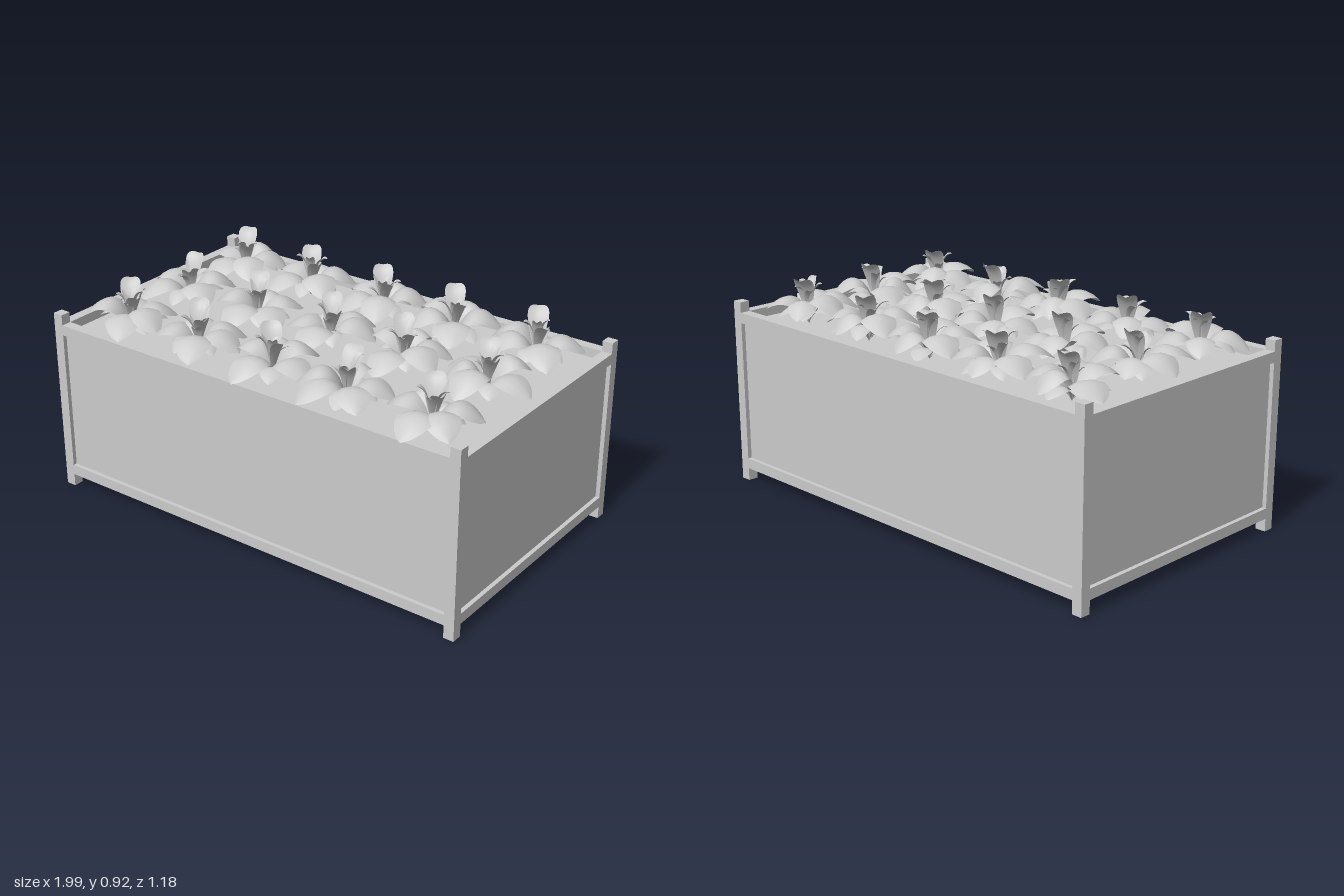
import * as THREE from 'three';

const grey = new THREE.MeshStandardMaterial({ color: 0xcccccc });
const leafGrey = new THREE.MeshStandardMaterial({ color: 0xcccccc, side: THREE.DoubleSide });

// Outer faces of the frame and its main heights
const X0 = -0.99, X1 = 0.997, Z0 = -0.587, Z1 = 0.565;
const BAR = 0.045, POST_H = 0.8, SOIL = 0.715;
const RECESS = 0.018, PANEL = 0.015;

// Box given by its lower and upper corners
function box(parent, name, [ax, ay, az], [bx, by, bz]) {
  const mesh = new THREE.Mesh(new THREE.BoxGeometry(bx - ax, by - ay, bz - az), grey);
  mesh.position.set((ax + bx) / 2, (ay + by) / 2, (az + bz) / 2);
  mesh.name = name;
  parent.add(mesh);
}

// Leaf growing along +x: an arched spine with an oval, cupped blade
function leafGeometry({ reach, rise, turn, bend, width, cup }) {
  const geo = new THREE.PlaneGeometry(1, 2, 12, 4);
  const p = geo.attributes.position;
  for (let i = 0; i < p.count; i++) {
    const t = p.getX(i) + 0.5, s = p.getY(i);
    const half = (width / 2) * Math.max(0.03, Math.sin(Math.PI * Math.pow(t, 1.1)) ** 0.7 || 0);
    const y = rise * Math.sin(turn * Math.PI * Math.pow(t, 0.75));
    p.setXYZ(i, reach * Math.pow(t, bend), y + cup * half * s * s, -s * half);
  }
  geo.computeVertexNormals();
  return geo;
}

const broadLeaf = leafGeometry({ reach: 0.2, rise: 0.12, turn: 0.86, bend: 1, width: 0.145, cup: -0.3 });
const lowLeaf = leafGeometry({ reach: 0.14, rise: 0.075, turn: 0.85, bend: 1, width: 0.085, cup: -0.25 });
const heartLeaf = leafGeometry({ reach: 0.085, rise: 0.19, turn: 0.5, bend: 1.2, width: 0.085, cup: 0.4 });
const innerLeaf = leafGeometry({ reach: 0.07, rise: 0.165, turn: 0.5, bend: 1.3, width: 0.04, cup: 0.5 });

// Small seeded generator for natural variation
function seeded(seed) {
  return () => (seed = (seed * 16807) % 2147483647) / 2147483647;
}

// Directions of the five broad leaves (degrees from +x towards +z), per plant
const SPREAD = [
  [[196, 92, 46, -18, 274], [198, 110, 36, -33, 262], [200, 64, 117, -24, 273], [200, 62, 125, -22, 272], [178, 50, 128, -27, 236]],
  [[187, 116, 32, -45, 248], [172, 85, 28, -49, 256], [170, 84, -6, -54, 231], [204, 86, 24, -26, 270], [193, 90, 8, -62, 142]],
  [[162, 60, 18, -50, 233], [165, 59, 0, -45, 232], [194, 94, 10, -58, 241], [150, 108, 45, -13, 255], [180, 86, 41, -23, 232]],
];
const REACH = [1, 1.18, 1.06, 0.98, 0.85];
const COLUMNS = [-0.755, -0.385, -0.005, 0.355, 0.74];
const ROWS = [-0.39, -0.02, 0.355];

function createPlant(spread, rand) {
  const plant = new THREE.Group();
  plant.name = 'plant';
  const add = (name, geo, degrees, length, height, width = 1) => {
    const leaf = new THREE.Mesh(geo, leafGrey);
    leaf.name = name;
    leaf.rotation.y = -THREE.MathUtils.degToRad(degrees);
    leaf.scale.set(length, height, width);
    plant.add(leaf);
  };
  spread.forEach((a, i) => add('broadLeaf', broadLeaf, a, REACH[i], 0.85 + 0.3 * rand(), i === 4 ? 0.8 : 1));
  // low leaves fill the gaps between the broad ones
  for (let i = 0; i < 5; i++) add('lowLeaf', lowLeaf, spread[1] + 36 + i * 72, 0.85 + 0.3 * rand(), 0.8 + 0.4 * rand());
  // upright heart of the plant
  const turn = 225 + 40 * rand();
  add('heartLeaf', heartLeaf, turn, 0.8 + 0.3 * rand(), 1.04);
  add('heartLeaf', heartLeaf, turn + 150, 0.9, 0.85, 0.75);
  for (let i = 0; i < 5; i++) add('innerLeaf', innerLeaf, turn + 40 + i * 72, 0.7 + 0.5 * rand(), 0.75 + 0.4 * rand());
  return plant;
}

export function createModel() {
  const model = new THREE.Group();
  model.name = 'planter';

  // Corner posts
  for (const x of [X0, X1 - BAR])
    for (const z of [Z0, Z1 - BAR])
      box(model, 'cornerPost', [x, 0, z], [x + BAR, POST_H, z + BAR]);

  // Top and bottom rails between the posts
  for (const [y, name] of [[0.055, 'bottomRail'], [0.71, 'topRail']]) {
    for (const z of [Z0, Z1 - BAR])
      box(model, name, [X0 + BAR, y, z], [X1 - BAR, y + BAR, z + BAR]);
    for (const x of [X0, X1 - BAR])
      box(model, name, [x, y, Z0 + BAR], [x + BAR, y + BAR, Z1 - BAR]);
  }

  // Recessed side panels
  for (const z of [Z0 + RECESS, Z1 - RECESS - PANEL])
    box(model, 'longPanel', [X0 + BAR, 0.1, z], [X1 - BAR, 0.71, z + PANEL]);
  for (const x of [X0 + RECESS, X1 - RECESS - PANEL])
    box(model, 'endPanel', [x, 0.1, Z0 + BAR], [x + PANEL, 0.71, Z1 - BAR]);

  // Floor and soil
  box(model, 'floor', [X0 + BAR, 0.07, Z0 + BAR], [X1 - BAR, 0.09, Z1 - BAR]);
  box(model, 'soil', [X0 + BAR, 0.65, Z0 + BAR], [X1 - BAR, SOIL, Z1 - BAR]);

  // Three rows of five plants
  const rand = seeded(71);
  ROWS.forEach((z, r) => COLUMNS.forEach((x, c) => {
    const plant = createPlant(SPREAD[r][c], rand);
    plant.position.set(x, SOIL, z);
    model.add(plant);
  }));
  return model;
}
